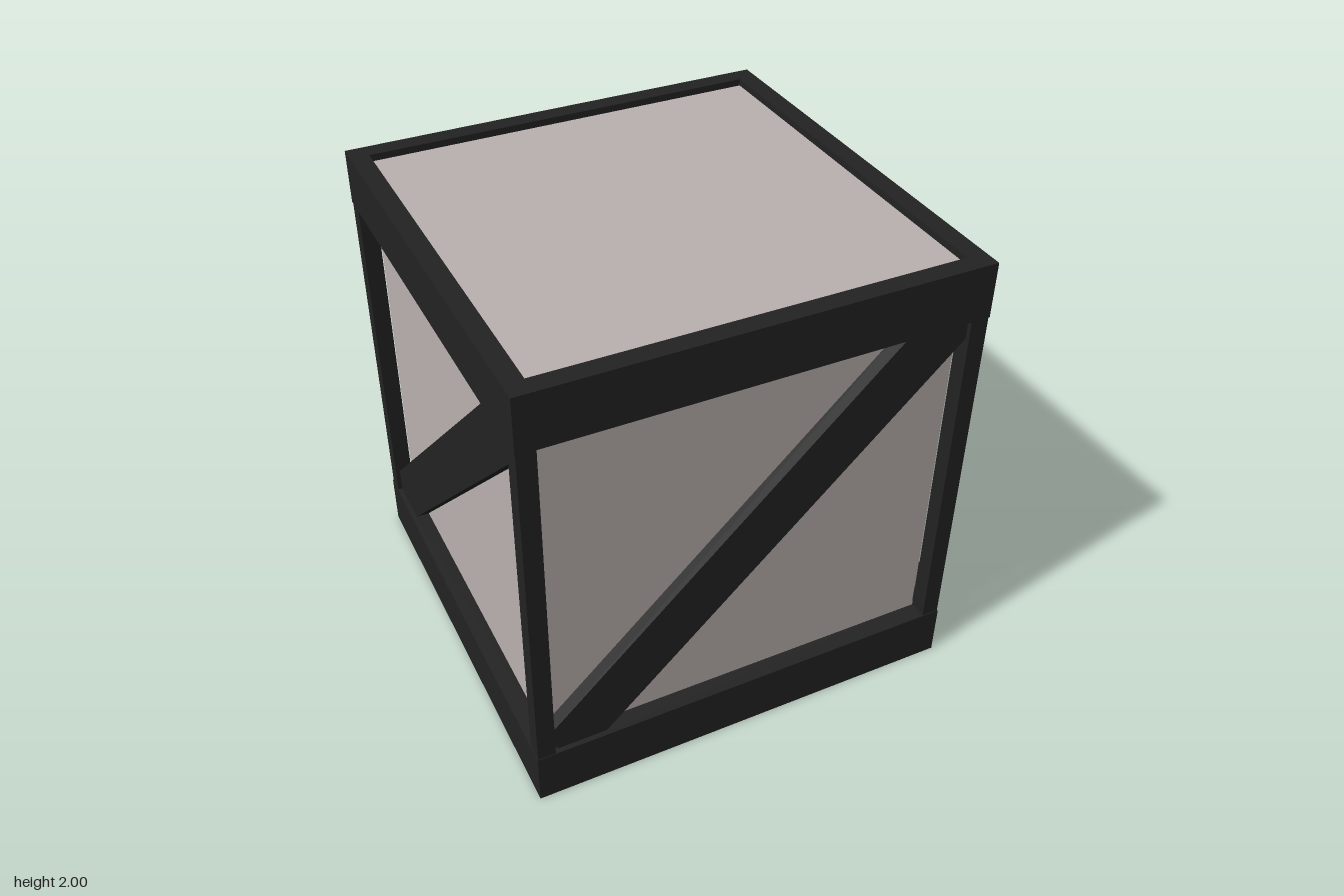
import * as THREE from 'three';

export function createModel() {
  const frame = new THREE.MeshStandardMaterial({ color: 0x222322 });
  frame.name = 'dark frame';
  const panel = new THREE.MeshStandardMaterial({ color: 0xbab1af });
  panel.name = 'pale panel';

  const half = 0.94;      // half width of the crate
  const thick = 0.08;     // rail and post thickness
  const railH = 0.235;
  const post = 0.075;

  function box(parent, name, mat, size, pos) {
    const mesh = new THREE.Mesh(new THREE.BoxGeometry(...size), mat);
    mesh.name = name;
    mesh.position.set(...pos);
    parent.add(mesh);
    return mesh;
  }

  const crate = new THREE.Group();
  crate.name = 'crate';

  // Inner box, set back behind the frame on every side
  box(crate, 'innerBox', panel, [1.72, 1.96, 1.72], [0, 0.99, 0]);

  // The same framed side, turned around the vertical axis
  for (let i = 0; i < 4; i++) {
    const side = new THREE.Group();
    side.name = ['frontSide', 'leftSide', 'backSide', 'rightSide'][i];
    side.rotation.y = i * Math.PI / 2;
    crate.add(side);

    // Rails butt against the next side's rail at the corner
    const railSize = [2 * half - thick, railH, thick];
    const railZ = half - thick / 2;
    box(side, 'bottomRail', frame, railSize, [-thick / 2, railH / 2, railZ]);
    box(side, 'topRail', frame, railSize, [-thick / 2, 2 - railH / 2, railZ]);

    // Corner post, a hair inside the rail faces
    const postPos = half - 0.003 - post / 2;
    box(side, 'cornerPost', frame, [post, 2 - 2 * railH, post], [postPos, 1, postPos]);

    // Diagonal brace, slightly recessed, its ends tucked behind the rails
    const brace = box(side, 'diagonalBrace', frame, [2.29, 0.237, 0.06], [0, 1.012, 0.888]);
    brace.rotation.z = Math.atan(0.966);
  }
  return crate;
}
